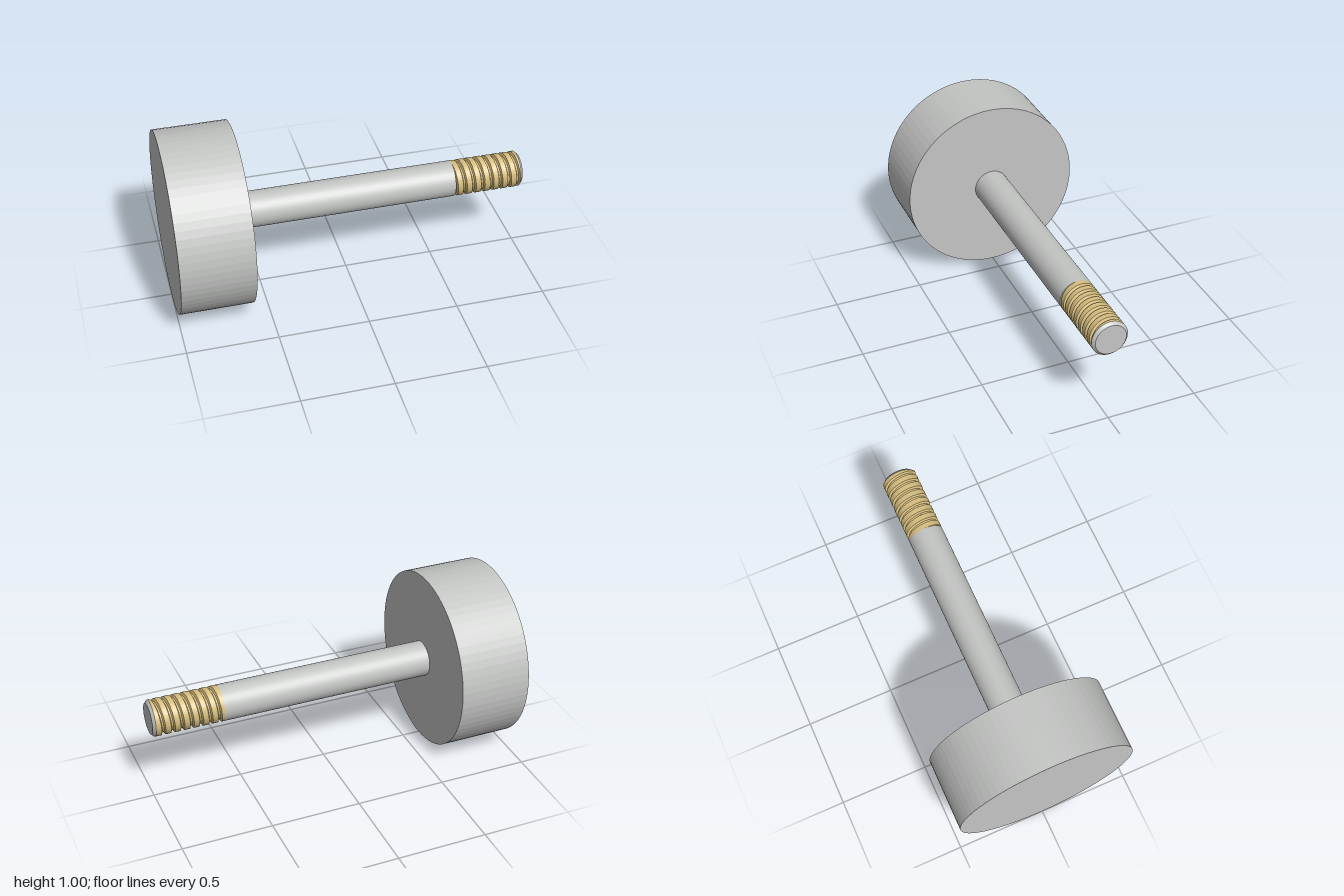
import * as THREE from 'three';

const SEGMENTS = 72;
const AXIS_Y = 0.5;

const steel = new THREE.MeshStandardMaterial({ color: 0xc3c5c3 });
steel.name = 'steel grey';
const brass = new THREE.MeshStandardMaterial({ color: 0xd8bf80 });
brass.name = 'thread gold';

function faceted(geometry) {
  const flat = geometry.index ? geometry.toNonIndexed() : geometry;
  flat.computeVertexNormals();
  return flat;
}

// Turned part along x from [radius, x] profile points
function turned(name, profile) {
  const points = profile.map(([r, x]) => new THREE.Vector2(r, x));
  const geometry = new THREE.LatheGeometry(points, SEGMENTS);
  geometry.rotateZ(-Math.PI / 2);
  const mesh = new THREE.Mesh(faceted(geometry), steel);
  mesh.name = name;
  return mesh;
}

// Right-hand helical thread along x: flat crests with tapered grooves
function threadGeometry(start, end, pitch, crest, root) {
  const stops = [0, 0.58, 0.7, 0.88]; // crest, flank, root, flank
  const radiusAt = (x, turn) => {
    const u = (x - start) / pitch - turn;
    const t = u - Math.floor(u);
    if (t < 0.58) return crest;
    if (t < 0.7) return THREE.MathUtils.lerp(crest, root, (t - 0.58) / 0.12);
    if (t < 0.88) return root;
    return THREE.MathUtils.lerp(root, crest, (t - 0.88) / 0.12);
  };
  const turns = Math.ceil((end - start) / pitch);
  const ring = (i) => {
    const turn = i / SEGMENTS;
    const angle = turn * Math.PI * 2;
    const row = [];
    for (let k = -1; k <= turns; k++) {
      for (const s of stops) {
        const x = THREE.MathUtils.clamp(start + (k + s + turn) * pitch, start, end);
        const r = radiusAt(x, turn);
        row.push(new THREE.Vector3(x, r * Math.cos(angle), r * Math.sin(angle)));
      }
    }
    return row;
  };
  const positions = [];
  const triangle = (a, b, c) => {
    const area = b.clone().sub(a).cross(c.clone().sub(a)).length();
    if (area > 1e-9) for (const p of [a, b, c]) positions.push(p.x, p.y, p.z);
  };
  for (let i = 0; i < SEGMENTS; i++) {
    const a = ring(i);
    const b = ring(i + 1);
    for (let j = 0; j < a.length - 1; j++) {
      triangle(a[j], b[j], b[j + 1]);
      triangle(a[j], b[j + 1], a[j + 1]);
    }
  }
  const geometry = new THREE.BufferGeometry();
  geometry.setAttribute('position', new THREE.Float32BufferAttribute(positions, 3));
  return faceted(geometry);
}

export function createModel() {
  const model = new THREE.Group();
  model.name = 'threadedBolt';

  // Broad round head
  model.add(turned('head', [[0, -1], [0.5, -1], [0.5, -0.6], [0, -0.6]]));

  // Plain shank
  model.add(turned('shank', [[0.1, -0.6], [0.1, 0.605], [0, 0.605]]));

  // Chamfered tip
  model.add(turned('tip', [[0, 0.985], [0.1, 0.985], [0.085, 1], [0, 1]]));

  const thread = new THREE.Mesh(threadGeometry(0.605, 0.985, 0.052, 0.1, 0.086), brass);
  thread.name = 'thread';
  model.add(thread);

  for (const part of model.children) part.position.y = AXIS_Y;
  return model;
}
